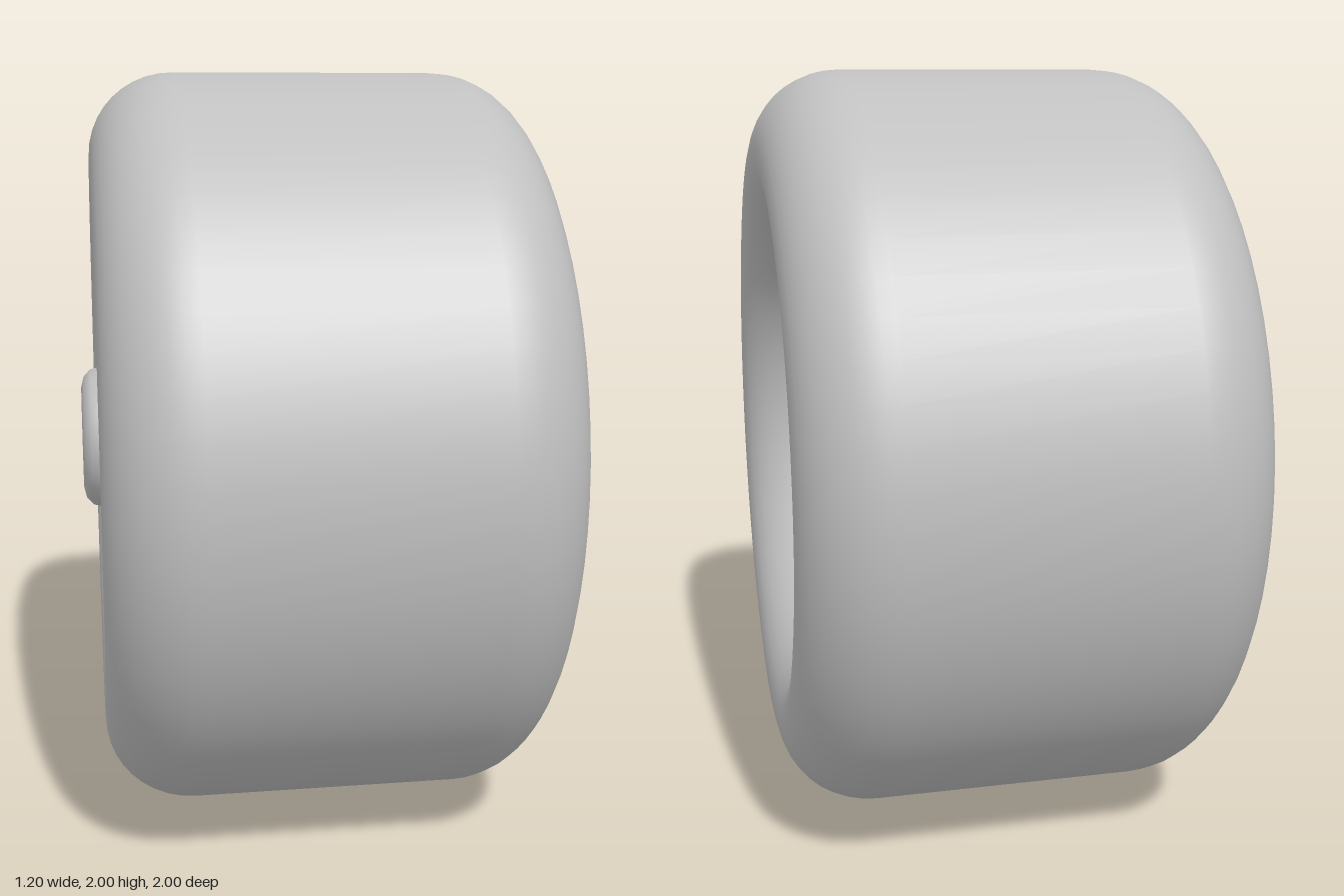
import * as THREE from 'three';
import { toCreasedNormals } from 'three/addons/utils/BufferGeometryUtils.js';

const grey = new THREE.MeshStandardMaterial({ color: 0xc0c0c0 });
grey.name = 'plain grey';

// Spin a profile of (radius, x) points about the x axis.
function spin(name, points, segments, crease) {
  let geometry = new THREE.LatheGeometry(points, segments);
  geometry.rotateZ(-Math.PI / 2);
  if (crease) geometry = toCreasedNormals(geometry, crease);
  const mesh = new THREE.Mesh(geometry, grey);
  mesh.name = name;
  return mesh;
}

const profile = (pairs) => pairs.map(([r, x]) => new THREE.Vector2(r, x));

export function createModel() {
  const wheel = new THREE.Group();
  wheel.name = 'wheel';

  // Tyre: rounded shoulders outside, wide funnels leading in to the rim
  const section = new THREE.Path();
  section.moveTo(0.505, 0.1);
  section.lineTo(0.505, -0.16);
  section.lineTo(0.54, -0.22);
  section.bezierCurveTo(0.55, -0.42, 0.64, -0.56, 0.78, -0.56);
  section.bezierCurveTo(0.9, -0.56, 1, -0.46, 1, -0.33);
  section.lineTo(1, 0.37);
  section.bezierCurveTo(1, 0.5, 0.9, 0.6, 0.78, 0.6);
  section.bezierCurveTo(0.64, 0.6, 0.55, 0.46, 0.54, 0.24);
  section.lineTo(0.505, 0.18);
  section.lineTo(0.505, 0.1);
  wheel.add(spin('tyre', section.getPoints(10), 64));

  // Rim: flat on one side, with a sloping shoulder on the other
  wheel.add(spin('rim', profile([
    [0, -0.32], [0.49, -0.32], [0.51, -0.3], [0.51, 0.2], [0.49, 0.25],
    [0.45, 0.29], [0.39, 0.32], [0.3, 0.33], [0, 0.33],
  ]), 32, 0.7));

  // Wide hub with a rounded end
  wheel.add(spin('wideHub', profile([
    [0, -0.6], [0.14, -0.6], [0.17, -0.593], [0.19, -0.575], [0.2, -0.54], [0.2, -0.3],
  ]), 32, 0.7));

  // Narrow axle stub
  wheel.add(spin('axleStub', profile([
    [0.11, 0.3], [0.11, 0.465], [0.1, 0.48], [0, 0.48],
  ]), 24, 0.7));

  wheel.position.y = 1;
  const model = new THREE.Group();
  model.add(wheel);
  return model;
}
